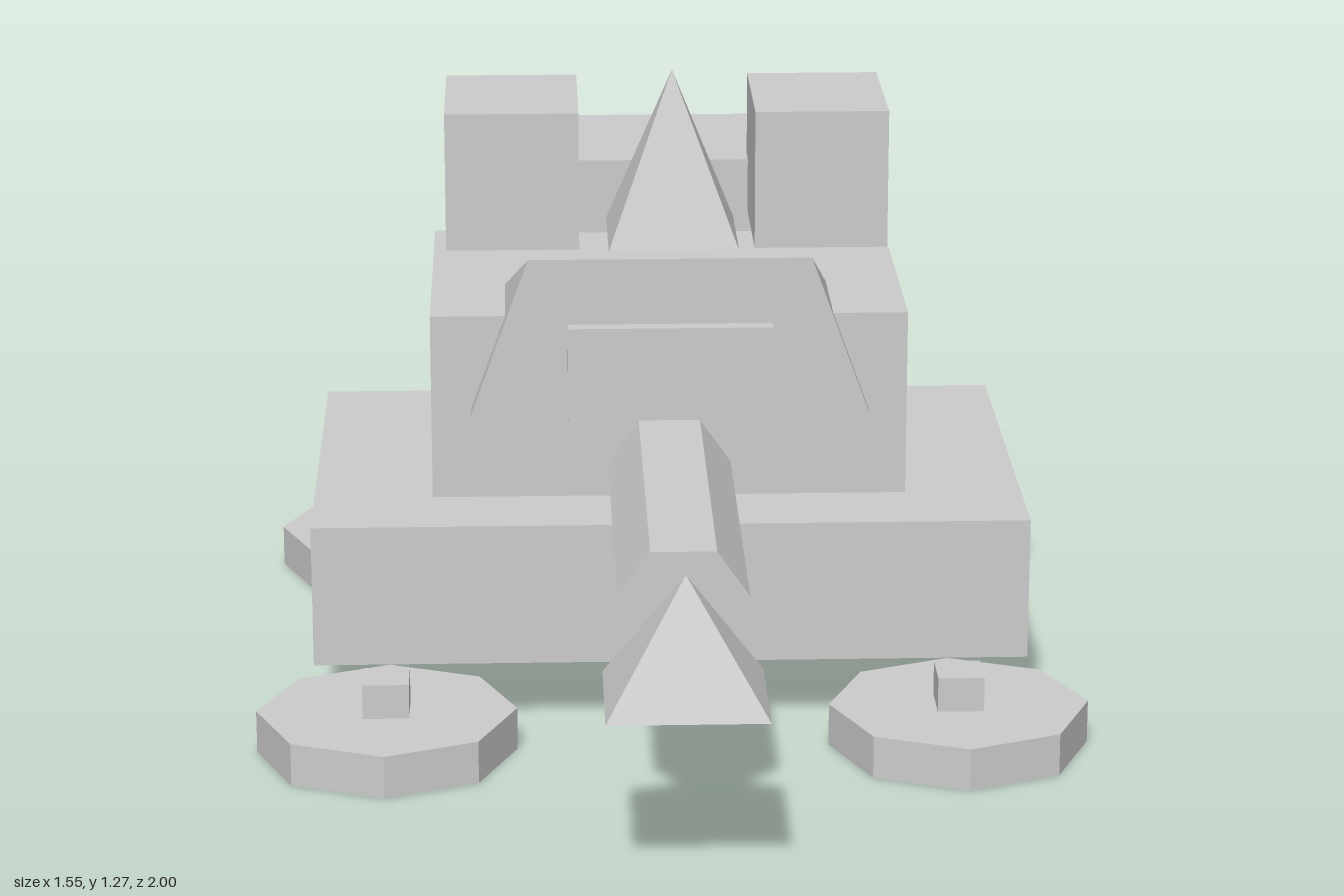
import * as THREE from 'three';
import { ConvexGeometry } from 'three/addons/geometries/ConvexGeometry.js';

export function createModel() {
  const model = new THREE.Group();
  model.name = 'tank';

  const grey = new THREE.MeshStandardMaterial({ color: 0xcccccc });
  grey.name = 'grey';
  grey.flatShading = true;

  const add = (name, geometry) => {
    const mesh = new THREE.Mesh(geometry, grey);
    mesh.name = name;
    model.add(mesh);
    return mesh;
  };

  // Box given by its extents on each axis
  const box = (name, [x0, x1], [y0, y1], [z0, z1]) =>
    add(name, new THREE.BoxGeometry(x1 - x0, y1 - y0, z1 - z0))
      .position.set((x0 + x1) / 2, (y0 + y1) / 2, (z0 + z1) / 2);

  // Four-sided pyramid with its base centre at (0, y, z)
  const pyramid = (name, width, height, depth, y, z) =>
    add(name, new THREE.ConeGeometry(Math.SQRT1_2, 1, 4)
      .rotateY(Math.PI / 4).scale(width, height, depth))
      .position.set(0, y + height / 2, z);

  // Hull, turret and rear step
  box('hull', [-0.67, 0.67], [0.133, 0.405], [-0.675, 0.16]);
  box('turret', [-0.445, 0.445], [0.422, 0.776], [-0.555, 0.04]);
  box('rearStep', [-0.314, 0.314], [0.402, 0.458], [-0.602, -0.37]);

  // Sloped wedge running through the turret, tapering to its back edge
  const wedgePoints = [];
  for (const s of [-1, 1]) {
    wedgePoints.push(
      new THREE.Vector3(s * 0.372, 0.593, 0.083),
      new THREE.Vector3(s * 0.262, 0.896, 0.083),
      new THREE.Vector3(s * 0.372, 0.593, -0.559));
  }
  add('turretWedge', new ConvexGeometry(wedgePoints));
  box('frontPlate', [-0.19, 0.19], [0.593, 0.771], [0.03, 0.112]);

  // Hexagonal barrel and muzzle
  add('barrel', new THREE.CylinderGeometry(1, 1, 0.77, 6)
    .rotateY(Math.PI / 2).rotateX(Math.PI / 2).scale(0.115, 0.0958, 1))
    .position.set(0, 0.487, 0.385);
  pyramid('muzzle', 0.28, 0.222, 0.253, 0.343, 0.872);

  // Floating blocks and spike above the turret
  pyramid('spike', 0.234, 0.306, 0.234, 0.969, 0.171);
  box('rearBlock', [-0.202, 0.202], [0.826, 0.97], [-0.714, -0.353]);

  for (const s of [-1, 1]) {
    const side = s > 0 ? 'left' : 'right';
    box(side + 'TopBlock', [s * 0.29 - 0.125, s * 0.29 + 0.125], [0.867, 1.13], [-0.397, -0.088]);

    // Octagonal feet with pegs
    for (const [end, z] of [['Front', 0.257], ['Back', -0.77]]) {
      const x = s * 0.532;
      add(side + end + 'Foot', new THREE.CylinderGeometry(1, 1, 0.081, 8)
        .scale(0.242, 1, 0.23)).position.set(x, 0.0405, z);
      box(side + end + 'Peg', [x - 0.043, x + 0.043], [0.07, 0.147], [z - 0.045, z + 0.045]);
    }
  }

  return model;
}
